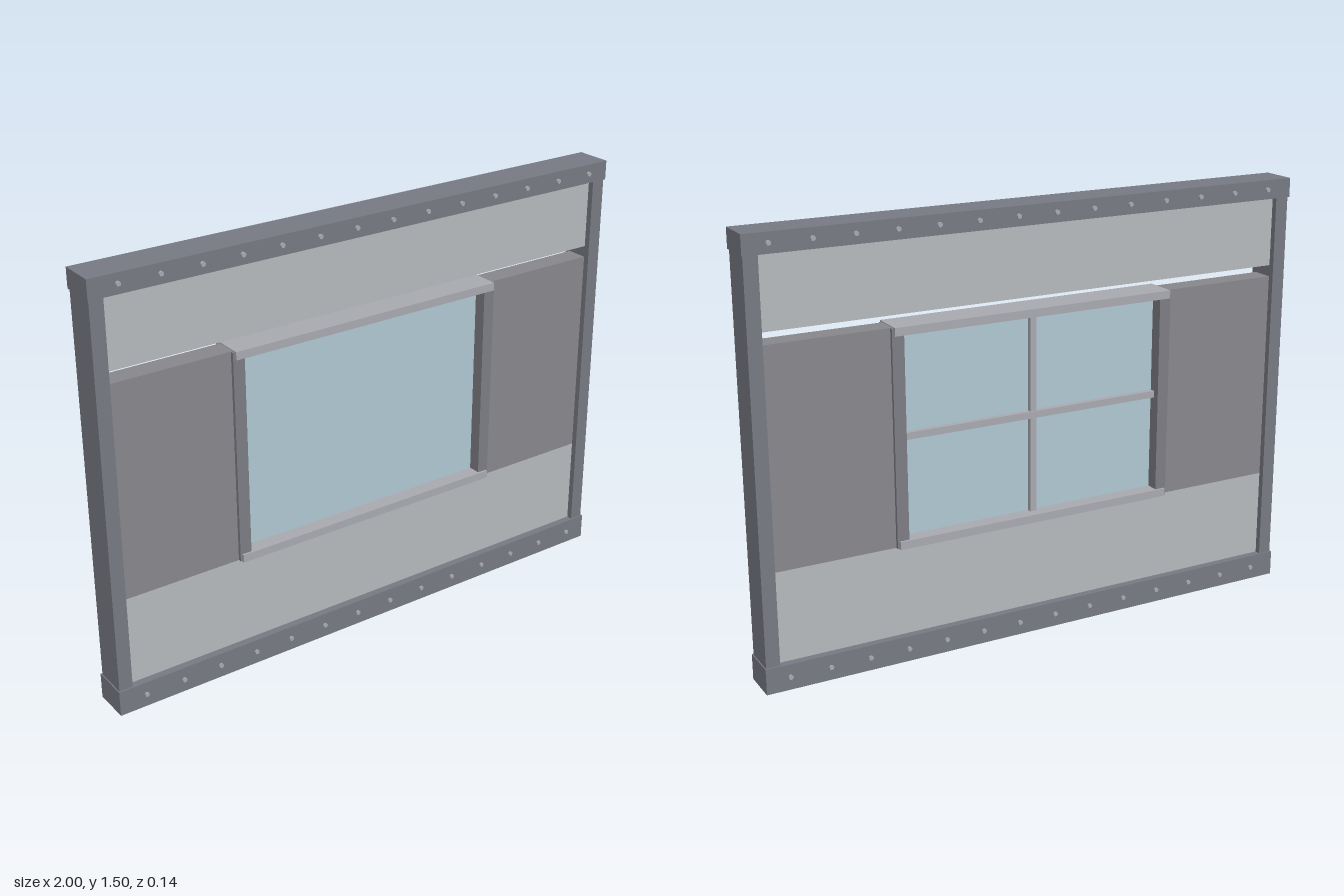
import * as THREE from 'three';

const mat = (color) => new THREE.MeshStandardMaterial({ color });

export function createModel() {
  const model = new THREE.Group();
  const frame = mat(0x777a82), panel = mat(0xb6babc), wall = mat(0x88878c);
  const trim = mat(0xa8aab0), jamb = mat(0x7c7d84), glass = mat(0xb0c8d2);

  // box given by its min and max corners
  const box = (name, m, [x0, x1], [y0, y1], [z0, z1]) => {
    const mesh = new THREE.Mesh(new THREE.BoxGeometry(x1 - x0, y1 - y0, z1 - z0), m);
    mesh.position.set((x0 + x1) / 2, (y0 + y1) / 2, (z0 + z1) / 2);
    mesh.name = name;
    model.add(mesh);
    return mesh;
  };

  // outer frame
  box('topRail', frame, [-1, 1], [1.433, 1.5], [-0.064, 0.064]);
  box('bottomRail', frame, [-1, 1], [0, 0.09], [-0.065, 0.065]);
  for (const [side, s] of [['left', 1], ['right', -1]]) {
    const span = (a, b) => (s > 0 ? [a, b] : [-b, -a]);
    box(side + 'Post', frame, span(0.948, 0.996), [0.09, 1.433], [-0.059, 0.059]);
    // wall beside the window and window jamb
    box(side + 'Wall', wall, span(0.5, 0.948), [0.405, 1.15], [-0.038, 0.038]);
    box(side + 'Jamb', jamb, span(0.48, 0.522), [0.405, 1.149], [-0.05, 0.05]);
  }

  // light panels above and below, with an open slot under the upper one
  box('upperPanel', panel, [-0.948, 0.948], [1.19, 1.433], [-0.038, 0.038]);
  box('lowerPanel', panel, [-0.948, 0.948], [0.09, 0.405], [-0.038, 0.038]);

  // window
  box('windowHead', trim, [-0.515, 0.515], [1.125, 1.153], [-0.058, 0.058]);
  box('windowSill', trim, [-0.515, 0.515], [0.402, 0.43], [-0.058, 0.058]);
  box('glassPane', glass, [-0.48, 0.48], [0.43, 1.125], [-0.005, 0.005]);
  box('verticalGlazingBar', trim, [-0.012, 0.012], [0.43, 1.125], [-0.022, -0.005]);
  box('horizontalGlazingBar', trim, [-0.48, 0.48], [0.766, 0.79], [-0.026, -0.005]);

  // rows of bolts on both faces of both rails
  const bolts = new THREE.Group();
  bolts.name = 'bolts';
  const boltGeo = new THREE.CylinderGeometry(0.008, 0.008, 0.016, 10).rotateX(Math.PI / 2);
  for (const y of [0.046, 1.467]) {
    for (const z of [-0.064, 0.064]) {
      for (let i = 0; i < 14; i++) {
        const bolt = new THREE.Mesh(boltGeo, trim);
        bolt.name = 'bolt';
        bolt.position.set(-0.903 + i * 0.14, y, z);
        bolts.add(bolt);
      }
    }
  }
  model.add(bolts);
  return model;
}
